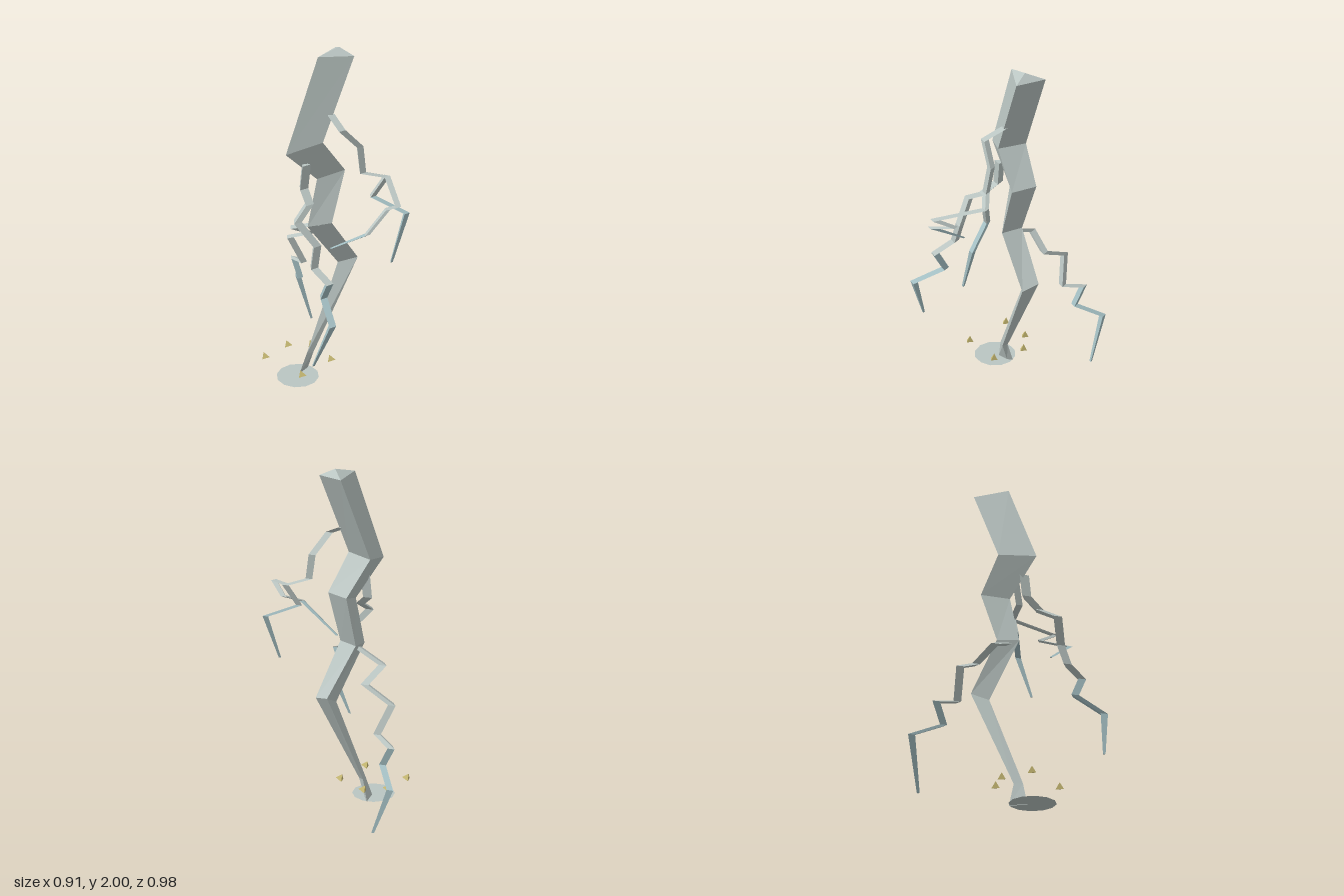
import * as THREE from 'three';

const material = (name, color) => {
  const m = new THREE.MeshStandardMaterial({ color, flatShading: true, side: THREE.DoubleSide });
  m.name = name;
  return m;
};

// Skin of triangular rings listed from top to bottom (corners: back left, back right, front)
function loft(rings) {
  const p = [];
  const tri = (a, b, c) => p.push(...a, ...b, ...c);
  for (let i = 0; i < rings.length - 1; i++) {
    const u = rings[i], l = rings[i + 1];
    for (let k = 0; k < 3; k++) {
      const n = (k + 1) % 3;
      tri(l[n], l[k], u[k]);
      tri(l[n], u[k], u[n]);
    }
  }
  const t = rings[0], b = rings[rings.length - 1];
  tri(t[0], t[2], t[1]);
  tri(b[0], b[1], b[2]);
  const g = new THREE.BufferGeometry();
  g.setAttribute('position', new THREE.Float32BufferAttribute(p, 3));
  g.computeVertexNormals();
  return g;
}

// Level triangular ring around a branch joint, turned like the trunk
function ring([x, y, z], r) {
  return [0, 1, 2].map((k) => {
    const a = -2.55 + (k * Math.PI * 2) / 3;
    return [x + r * Math.cos(a), y, z + r * Math.sin(a)];
  });
}

export function createModel() {
  const root = new THREE.Group();
  const bark = material('pale grey bark', 0xbac5c2);
  const tipMat = material('blue grey tips', 0xa2bdc1);
  const gold = material('dull gold', 0xc6b872);

  const add = (name, geometry, mat, parent = root) => {
    const mesh = new THREE.Mesh(geometry, mat);
    mesh.name = name;
    parent.add(mesh);
    return mesh;
  };

  // Zigzag trunk, narrowing towards the foot
  const trunk = [
    [[-0.083, 1.96, -0.233], [0.065, 1.96, -0.137], [-0.10, 1.97, -0.02]],
    [[-0.20, 1.49, -0.06], [-0.05, 1.50, 0.035], [-0.217, 1.45, 0.163]],
    [[-0.10, 1.295, -0.18], [0.03, 1.295, -0.095], [-0.105, 1.25, -0.01]],
    [[-0.125, 0.99, -0.08], [-0.015, 0.99, -0.01], [-0.14, 0.97, 0.05]],
    [[-0.01, 0.725, -0.25], [0.075, 0.70, -0.19], [-0.03, 0.67, -0.14]],
    [[-0.145, 0.13, 0.02], [-0.115, 0.13, 0.04], [-0.145, 0.13, 0.07]],
    [[-0.175, 0.0, 0.0], [-0.155, 0.01, 0.03], [-0.18, 0.0, 0.10]],
  ];
  add('trunk', loft(trunk), bark);
  const peak = [-0.025, 2.0, -0.14];
  add('trunkCap', loft([[peak, peak, peak], trunk[0]]), bark);

  // Branches: joints from the trunk outwards; joints from index "tip" on are blue grey
  const branches = [
    { name: 'backBranch', tip: 5, r: 0.028, path: [
      [-0.08, 0.98, 0], [-0.28, 0.89, -0.06], [-0.21, 0.81, -0.18], [-0.38, 0.725, -0.23],
      [-0.305, 0.555, -0.26], [-0.41, 0.52, -0.35], [-0.355, 0.405, -0.32],
      [-0.437, 0.33, -0.47], [-0.335, 0.045, -0.45]] },
    { name: 'frontBranch', tip: 6, r: 0.032, path: [
      [-0.14, 1.37, 0.075], [-0.15, 1.23, 0.09], [-0.09, 1.17, 0.15], [-0.115, 1.105, 0.26],
      [0, 0.98, 0.258], [-0.003, 0.86, 0.295], [0.115, 0.815, 0.36], [0.065, 0.70, 0.325],
      [0.178, 0.622, 0.472], [0.07, 0.345, 0.48]] },
    { name: 'leftBranch', tip: 5, r: 0.026, path: [
      [-0.03, 1.65, -0.02], [0.065, 1.60, 0.055], [0.14, 1.485, -0.025], [0.165, 1.34, -0.008],
      [0.285, 1.31, -0.07], [0.215, 1.19, -0.04], [0.41, 1.112, -0.06], [0.36, 0.835, 0.03]] },
    { name: 'leftFork', tip: 3, r: 0.022, path: [
      [0.285, 1.312, -0.07], [0.435, 1.257, 0.165], [0.35, 1.19, 0.085], [0.30, 1.112, 0.27],
      [0.065, 0.945, 0.195]] },
  ];
  for (const { name, tip, r, path } of branches) {
    const group = new THREE.Group();
    group.name = name;
    root.add(group);
    const last = path.length - 1;
    const rings = path.map((p, i) => ring(p, i === last ? 0.009 : r * (1 - (0.25 * i) / last)));
    add(name + 'Wood', loft(rings.slice(0, tip + 1)), bark, group);
    add(name + 'Tip', loft(rings.slice(tip)), tipMat, group);
  }

  // Flat foot plate
  const plate = add('footPlate', new THREE.CircleGeometry(0.127, 12).rotateX(-Math.PI / 2).rotateY(Math.PI / 12), bark);
  plate.position.set(-0.18, 0.003, 0.127);

  // Small three-sided spikes floating around the foot
  const spike = new THREE.ConeGeometry(0.026, 0.04, 3, 1, false, -Math.PI / 2).rotateZ(-Math.PI / 2);
  for (const [x, z] of [[-0.365, 0.16], [-0.293, -0.012], [-0.163, -0.07], [0.008, 0.04], [-0.085, 0.26]]) {
    add('spike', spike, gold).position.set(x, 0.112, z);
  }
  return root;
}
